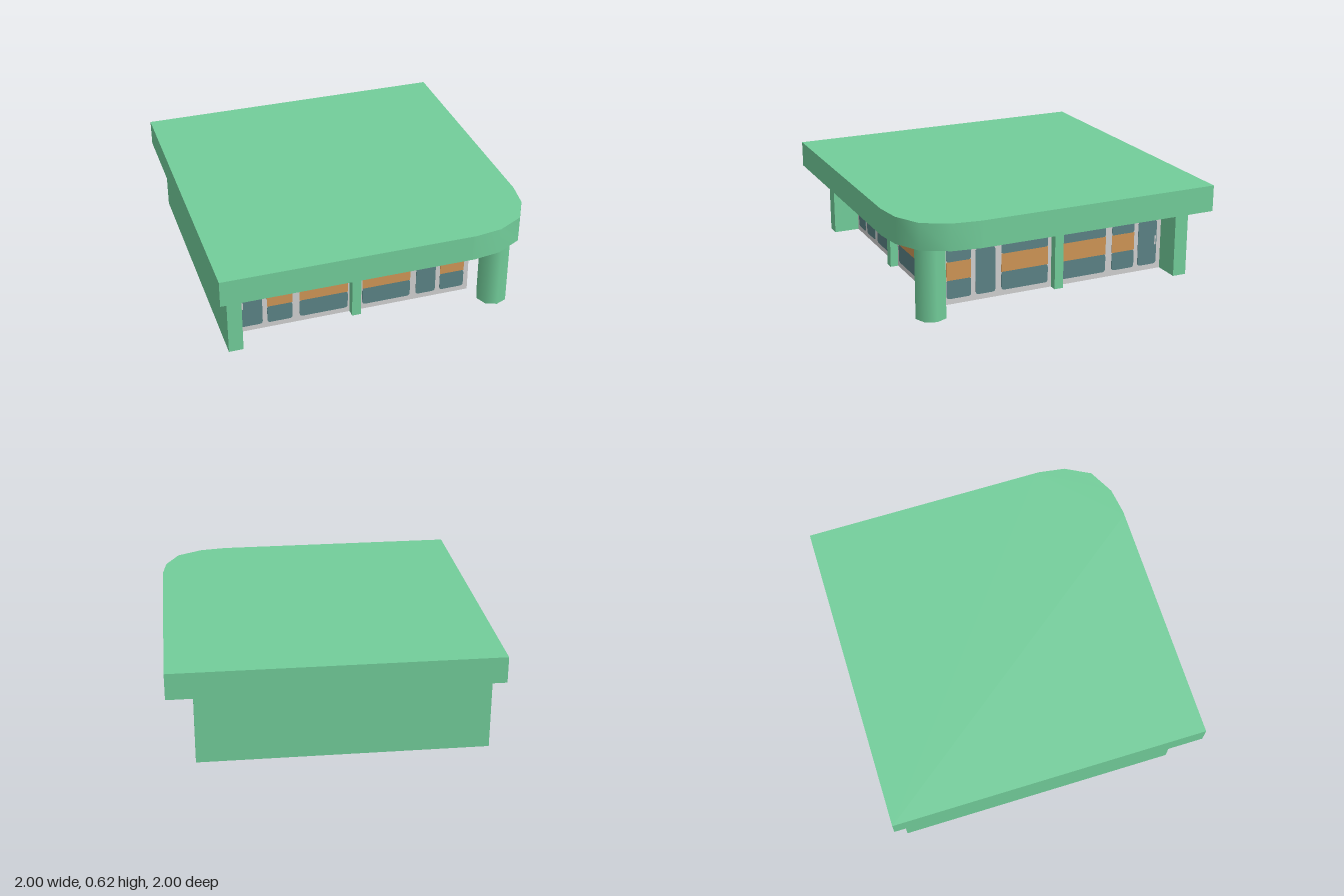
import * as THREE from 'three';
import { toCreasedNormals } from 'three/addons/utils/BufferGeometryUtils.js';

const mat = (name, color, side = THREE.FrontSide) => {
  const m = new THREE.MeshStandardMaterial({ color, side });
  m.name = name;
  return m;
};

export function createModel() {
  const green = mat('green paint', 0x72cd9a);
  const greenShell = mat('green shell', 0x72cd9a, THREE.DoubleSide);
  const white = mat('pale frame', 0xcfcfcf);
  const teal = mat('teal glass', 0x5b8285);
  const orange = mat('orange band', 0xce9555);

  const H = 0.46;      // wall height
  const IN = 0.67;     // shopfront plane
  const OUT = 0.84;    // pier face
  const BACK = -0.93;  // rear walls
  const model = new THREE.Group();
  model.name = 'cornerShop';

  const add = (parent, name, geo, material, x = 0, y = 0, z = 0) => {
    const m = new THREE.Mesh(geo, material);
    m.name = name;
    m.position.set(x, y, z);
    parent.add(m);
    return m;
  };

  // Roof slab with one rounded corner
  const outline = [[-1, -1], [1, -1], [1, 0.54], [1, 0.56], [0.975, 0.73], [0.89, 0.89],
    [0.73, 0.975], [0.56, 1], [0.54, 1], [-1, 1]].map(p => new THREE.Vector2(...p));
  const roof = new THREE.ExtrudeGeometry(new THREE.Shape(outline), { depth: 0.165, bevelEnabled: false });
  roof.rotateX(Math.PI / 2);
  add(model, 'roof', toCreasedNormals(roof, 0.65), green, 0, 0.625, 0);

  // Rear walls and end piers, one thin folded shell
  const path = [[IN, -OUT], [OUT, -OUT], [OUT, BACK], [BACK, BACK],
    [BACK, OUT], [-OUT, OUT], [-OUT, IN]];
  const walls = new THREE.Group();
  walls.name = 'walls';
  for (let i = 0; i < path.length - 1; i++) {
    const [ax, az] = path[i], [bx, bz] = path[i + 1];
    const g = new THREE.PlaneGeometry(Math.hypot(bx - ax, bz - az), H);
    g.rotateY(-Math.atan2(bz - az, bx - ax));
    add(walls, 'wall', g, greenShell, (ax + bx) / 2, H / 2, (az + bz) / 2);
  }
  model.add(walls);

  // Corner column
  add(model, 'column', new THREE.CylinderGeometry(0.097, 0.097, H, 8), green, 0.787, H / 2, 0.787);

  // Thin plate with rounded corners, visible from both sides
  const plate = (w, h, r) => {
    const a = w / 2, b = h / 2, s = new THREE.Shape();
    s.moveTo(-a + r, -b);
    s.lineTo(a - r, -b);
    s.quadraticCurveTo(a, -b, a, -b + r);
    s.lineTo(a, b - r);
    s.quadraticCurveTo(a, b, a - r, b);
    s.lineTo(-a + r, b);
    s.quadraticCurveTo(-a, b, -a, b - r);
    s.lineTo(-a, -b + r);
    s.quadraticCurveTo(-a, -b, -a + r, -b);
    const g = new THREE.ExtrudeGeometry(s, { depth: 0.009, bevelEnabled: false, curveSegments: 3 });
    return g.translate(0, 0, -0.0045);
  };

  const windows = [[-0.645, -0.485], [-0.44, -0.13], [-0.035, 0.28], [0.48, 0.64]];
  const doors = [[-0.81, -0.675], [0.32, 0.45]];

  // Glazed shopfront; s = -1 mirrors the layout
  const shopfront = (name, s) => {
    const g = new THREE.Group();
    g.name = name;
    const rect = (label, material, [x0, x1], y0, y1, r) =>
      add(g, label, plate(x1 - x0, y1 - y0, r), material, s * (x0 + x1) / 2, (y0 + y1) / 2, 0);
    add(g, 'frame', new THREE.BoxGeometry(IN + OUT, H, 0.004), white, s * (IN - OUT) / 2, H / 2, 0);
    for (const w of windows) {
      rect('upperPane', teal, w, 0.268, 0.425, 0.02);
      rect('lowerPane', teal, w, 0.035, 0.155, 0.02);
      const band = new THREE.BoxGeometry(w[1] - w[0], 0.117, 0.0096);
      add(g, 'band', band, orange, s * (w[0] + w[1]) / 2, 0.2115, 0);
    }
    for (const d of doors) {
      rect('doorLight', teal, d, 0.367, 0.425, 0.02);
      rect('doorPane', teal, d, 0.035, 0.33, 0.02);
    }
    add(g, 'doorHandle', new THREE.BoxGeometry(0.01, 0.06, 0.0099), white, s * -0.8, 0.195, 0);
    add(g, 'pilaster', new THREE.BoxGeometry(0.058, H, 0.06), green, s * -0.088, H / 2, 0.023);
    model.add(g);
    return g;
  };
  shopfront('frontShopfront', 1).position.z = IN;
  const side = shopfront('sideShopfront', -1);
  side.position.x = IN;
  side.rotation.y = Math.PI / 2;

  return model;
}
